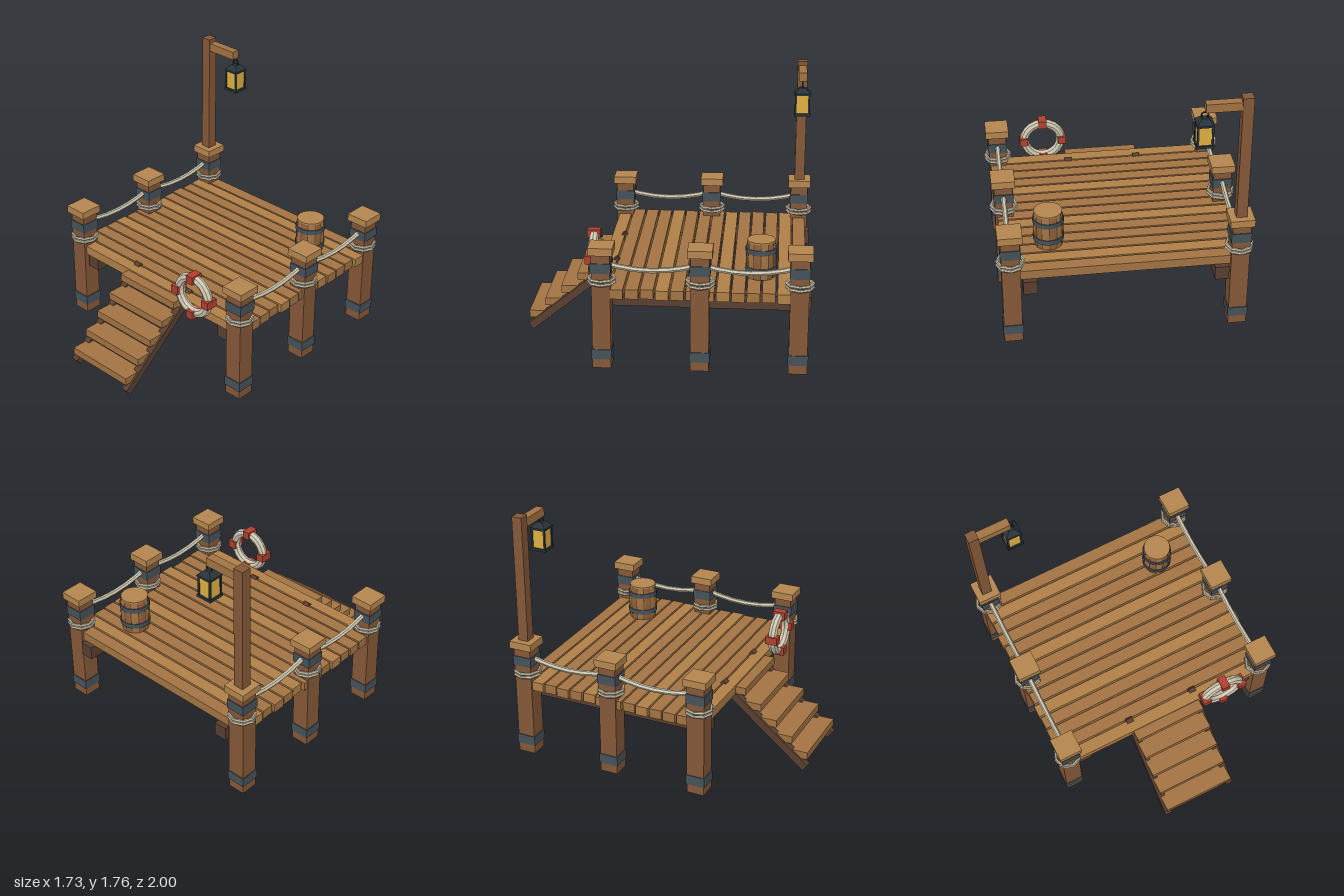
import * as THREE from 'three';

const mat = (color) => new THREE.MeshStandardMaterial({ color, flatShading: true });
const M = {
  post: mat(0x855838), cap: mat(0xb5864f), plank: mat(0xa37443), plankLight: mat(0xb08048),
  beam: mat(0x593f30), iron: mat(0x45525a), rope: mat(0xcfc7b0), red: mat(0xb04030),
  dark: mat(0x28343a), glass: mat(0xe0b040), barrel: mat(0x8f6038),
};

function add(parent, name, geo, material, x = 0, y = 0, z = 0) {
  const m = new THREE.Mesh(geo, material);
  m.name = name;
  m.position.set(x, y, z);
  parent.add(m);
  return m;
}
const box = (parent, name, material, w, h, d, x, y, z) =>
  add(parent, name, new THREE.BoxGeometry(w, h, d), material, x, y, z);

function group(parent, name, x = 0, y = 0, z = 0) {
  const g = new THREE.Group();
  g.name = name;
  g.position.set(x, y, z);
  parent.add(g);
  return g;
}

const POST_X = 0.765;
const POST_Z = [0.405, -0.25, -0.905];

// Square post with cap, iron bands and two wraps of rope
function makePost(parent, x, z) {
  const g = group(parent, 'post', x, 0, z);
  box(g, 'postShaft', M.post, 0.125, 0.81, 0.125, 0, 0.405, 0);
  box(g, 'postCap', M.cap, 0.165, 0.053, 0.165, 0, 0.8365, 0);
  for (const y of [0.1, 0.715]) box(g, 'ironBand', M.iron, 0.137, 0.07, 0.137, 0, y, 0);
  for (const y of [0.604, 0.63]) {
    add(g, 'ropeWrap', new THREE.TorusGeometry(0.088, 0.011, 6, 8), M.rope, 0, y, 0).rotation.x = Math.PI / 2;
  }
}

// Sagging rope between two posts
function makeRope(parent, x, z0, z1) {
  const curve = new THREE.QuadraticBezierCurve3(
    new THREE.Vector3(x, 0.74, z0),
    new THREE.Vector3(x, 0.635, (z0 + z1) / 2),
    new THREE.Vector3(x, 0.74, z1));
  add(parent, 'railRope', new THREE.TubeGeometry(curve, 6, 0.018, 6), M.rope);
}

function makeStairs(parent) {
  const g = group(parent, 'stairs');
  // Sloped stringers
  const dz = 0.639, dy = 0.52;
  for (const s of [-1, 1]) {
    const m = box(g, 'stringer', M.beam, 0.05, 0.055, Math.hypot(dz, dy), s * 0.252, 0.304, 0.66);
    m.rotation.x = Math.atan2(dy, dz);
  }
  for (let i = 0; i < 5; i++) {
    box(g, 'step', M.plank, 0.525, 0.054, 0.155, 0, 0.133 + i * 0.0985, 0.912 - i * 0.1165);
  }
}

function makeLantern(parent) {
  const g = group(parent, 'lantern', -0.495, 0, -0.905);
  add(g, 'hangingRing', new THREE.TorusGeometry(0.023, 0.006, 6, 12), M.dark, 0, 1.645, 0);
  const roof = new THREE.CylinderGeometry(0.03, 0.08, 0.036, 4);
  roof.rotateY(Math.PI / 4);
  add(g, 'lanternRoof', roof, M.dark, 0, 1.612, 0);
  box(g, 'lanternEave', M.dark, 0.113, 0.014, 0.113, 0, 1.588, 0);
  box(g, 'lanternGlass', M.glass, 0.094, 0.136, 0.094, 0, 1.515, 0);
  box(g, 'lanternBase', M.dark, 0.117, 0.018, 0.117, 0, 1.44, 0);
  for (const x of [-0.047, 0.047]) {
    for (const z of [-0.047, 0.047]) box(g, 'lanternStrut', M.dark, 0.013, 0.136, 0.013, x, 1.515, z);
  }
}

function makeBarrel(parent) {
  const g = group(parent, 'barrel', 0.488, 0.565, -0.644);
  const H = 0.262;
  const radius = (y) => 0.094 + 0.008 * (1 - (2 * y / H - 1) ** 2);
  const profile = [[0, 0]];
  for (let i = 0; i <= 4; i++) profile.push([radius(i * H / 4) - 0.004, i * H / 4]);
  profile.push([0, H - 0.004]);
  add(g, 'barrelCore', new THREE.LatheGeometry(profile.map((p) => new THREE.Vector2(...p)), 24), M.beam);
  // Bulging staves with narrow gaps
  const sweep = Math.PI / 6;
  for (let k = 0; k < 12; k++) {
    const pts = [0, 1, 2, 3, 4].map((i) => new THREE.Vector2(radius(i * H / 4), i * H / 4));
    add(g, 'stave', new THREE.LatheGeometry(pts, 2, k * sweep + 0.03, sweep - 0.06), k % 2 ? M.plank : M.barrel);
  }
  add(g, 'barrelLid', new THREE.CylinderGeometry(0.095, 0.095, 0.012, 24), M.cap, 0, H - 0.004, 0);
  for (const y of [0.065, 0.195]) {
    add(g, 'barrelHoop', new THREE.CylinderGeometry(0.106, 0.106, 0.034, 24), M.iron, 0, y, 0);
  }
}

function makeLifeRing(parent) {
  const g = group(parent, 'lifeRing', 0.425, 0.678, 0.492);
  add(g, 'ringBody', new THREE.TorusGeometry(0.134, 0.033, 8, 20), M.rope);
  for (let i = 0; i < 4; i++) {
    const a = i * Math.PI / 2;
    const m = box(g, 'ringBand', M.red, 0.06, 0.058, 0.09, 0.14 * Math.cos(a), 0.14 * Math.sin(a), 0.003);
    m.rotation.z = a;
  }
}

export function createModel() {
  const model = new THREE.Group();
  model.name = 'dock';

  // Deck planks, slightly uneven in length
  const deck = group(model, 'deck');
  for (let i = 0; i < 14; i++) {
    const len = 1.625 + 0.012 * Math.sin(i * 2.3);
    box(deck, 'deckPlank', i % 4 === 1 ? M.plankLight : i === 13 ? M.cap : M.plank,
      len, 0.066, 0.088, 0.004 * Math.sin(i * 1.7), 0.532, -0.905 + i * 0.1008);
  }

  // Posts, rail ropes and beams on both sides
  for (const s of [-1, 1]) {
    box(model, 'beam', M.beam, 0.095, 0.1, 1.425, s * 0.642, 0.45, -0.2725);
    for (const z of POST_Z) makePost(model, s * POST_X, z);
    for (let i = 0; i < 2; i++) makeRope(model, s * POST_X, POST_Z[i], POST_Z[i + 1]);
  }

  // Lamp post and arm
  box(model, 'lampPost', M.post, 0.073, 0.905, 0.073, -POST_X, 1.3125, -0.905);
  box(model, 'lampArm', M.plank, 0.24, 0.06, 0.06, -0.617, 1.705, -0.905);

  makeLantern(model);
  makeStairs(model);
  makeBarrel(model);
  makeLifeRing(model);
  return model;
}
